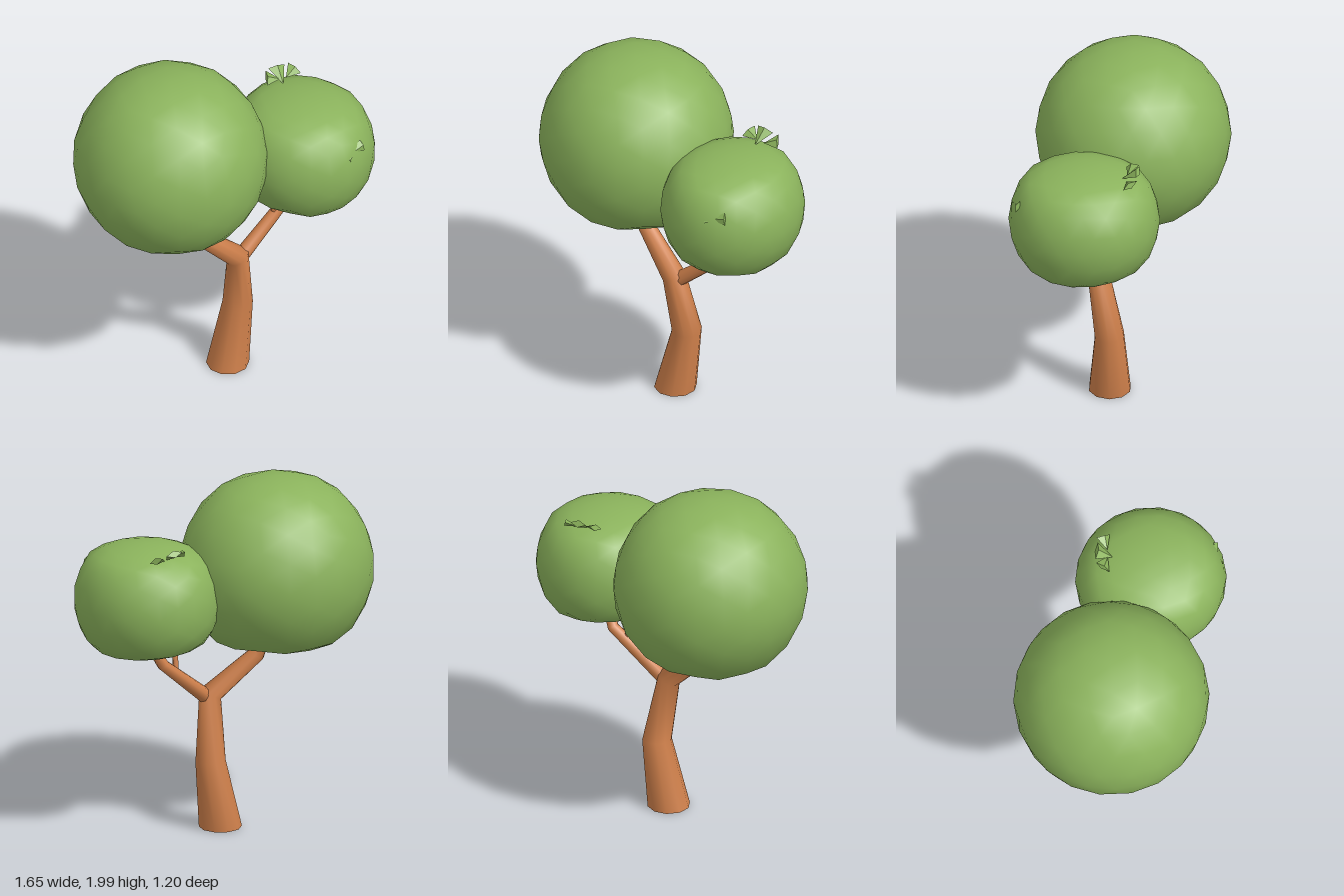
import * as THREE from 'three';
import { mergeVertices } from 'three/addons/utils/BufferGeometryUtils.js';

const V = (x, y, z) => new THREE.Vector3(x, y, z);

// Tapered limb through points [x, y, z, radius], with capped ends
function limb(points, startDir, sides = 10) {
  const centres = points.map(([x, y, z]) => V(x, y, z));
  const pos = [], index = [];
  const rings = centres.map((c, i) => {
    const before = centres[Math.max(i - 1, 0)], after = centres[Math.min(i + 1, centres.length - 1)];
    const t = i === 0 && startDir ? startDir.clone()
      : c.clone().sub(before).normalize().add(after.clone().sub(c).normalize()).normalize();
    const u = V(1, 0, 0).addScaledVector(t, -t.x).normalize();
    const v = t.clone().cross(u);
    const ring = [];
    for (let j = 0; j < sides; j++) {
      const a = (j / sides) * Math.PI * 2, r = points[i][3];
      ring.push(c.clone().addScaledVector(u, Math.cos(a) * r).addScaledVector(v, Math.sin(a) * r));
    }
    return ring;
  });
  rings.forEach((ring) => ring.forEach((p) => pos.push(p.x, p.y, p.z)));
  for (let i = 0; i < rings.length - 1; i++) {
    for (let j = 0; j < sides; j++) {
      const k = (j + 1) % sides, a = i * sides, b = a + sides;
      index.push(a + j, a + k, b + j, a + k, b + k, b + j);
    }
  }
  // Caps use their own vertices so the rims stay sharp
  [0, rings.length - 1].forEach((r) => {
    const base = pos.length / 3, c = centres[r];
    pos.push(c.x, c.y, c.z);
    rings[r].forEach((p) => pos.push(p.x, p.y, p.z));
    for (let j = 0; j < sides; j++) {
      const a = base + 1 + j, b = base + 1 + ((j + 1) % sides);
      if (r === 0) index.push(base, b, a); else index.push(base, a, b);
    }
  });
  const g = new THREE.BufferGeometry();
  g.setAttribute('position', new THREE.Float32BufferAttribute(pos, 3));
  g.setIndex(index);
  g.computeVertexNormals();
  return g;
}

// Rounded foliage ball, squashed above "top" and below "bottom"
function foliage(centre, radii, top, topSquash, bottom, bottomSquash, tiltX, tiltZ) {
  let g = new THREE.IcosahedronGeometry(1, 3);
  g.deleteAttribute('uv');
  g.deleteAttribute('normal');
  g = mergeVertices(g, 1e-4);
  const p = g.attributes.position;
  for (let i = 0; i < p.count; i++) {
    const dx = p.getX(i) * radii.x, dz = p.getZ(i) * radii.z;
    let y = centre.y + p.getY(i) * radii.y;
    const floor = bottom + dx * tiltX + dz * tiltZ;
    if (y > top) y = top + (y - top) * topSquash;
    if (y < floor) y = floor - (floor - y) * bottomSquash;
    p.setXYZ(i, centre.x + dx, y, centre.z + dz);
  }
  g.computeVertexNormals();
  return g;
}

// Small wedge leaf: pointed at "from", widening towards "to"
function leaf(from, to, width, normal) {
  const dir = from.clone().sub(to);
  const len = dir.length();
  dir.normalize();
  const side = dir.clone().cross(normal).normalize();
  const up = side.clone().cross(dir);
  const g = new THREE.ConeGeometry(1, 1, 4, 1).toNonIndexed();
  g.scale(width / 2, len, width * 0.2);
  g.applyMatrix4(new THREE.Matrix4().makeBasis(side, dir, up));
  const mid = from.clone().add(to).multiplyScalar(0.5);
  g.translate(mid.x, mid.y, mid.z);
  g.computeVertexNormals();
  return g;
}

export function createModel() {
  const tree = new THREE.Group();
  tree.name = 'tree';
  const bark = new THREE.MeshStandardMaterial({ color: 0xcf804b });
  bark.name = 'bark brown';
  const green = new THREE.MeshStandardMaterial({ color: 0x8bb35c });
  green.name = 'leaf green';
  const add = (name, geometry, material) => {
    const mesh = new THREE.Mesh(geometry, material);
    mesh.name = name;
    tree.add(mesh);
  };

  // Trunk bends and runs on into the larger branch
  add('trunk', limb([
    [0.012, 0, 0.058, 0.118], [0.082, 0.39, 0.058, 0.083], [0.035, 0.75, 0.117, 0.066],
    [-0.2, 0.96, 0.005, 0.047], [-0.24, 1.13, -0.04, 0.04],
  ], V(0, 1, 0)), bark);
  add('sideBranch', limb([
    [0.06, 0.74, 0.115, 0.043], [0.37, 0.99, 0.118, 0.033], [0.44, 1.14, 0.17, 0.028],
  ], null, 8), bark);
  add('twig', limb([
    [0.29, 0.93, 0.115, 0.02], [0.28, 0.98, 0.12, 0.017], [0.265, 1.16, 0.15, 0.014],
  ], null, 6), bark);

  // Crowns
  add('largeCrown', foliage(V(-0.29, 1.47, -0.062), V(0.535, 0.54, 0.537),
    1.9, 0.8, 1.06, 0.22, 0.06, 0), green);
  add('smallCrown', foliage(V(0.43, 1.365, 0.185), V(0.392, 0.41, 0.415),
    1.6, 0.5, 1.13, 0.4, -0.08, -0.06), green);

  // Loose leaves: [from, to, width]
  const topNormal = V(0, 1, 0.55).normalize(), frontNormal = V(0, 0.4, 1).normalize();
  [
    [V(0.46, 1.67, -0.05), V(0.39, 1.69, -0.08), 0.09, topNormal],
    [V(0.46, 1.65, -0.02), V(0.48, 1.71, -0.11), 0.1, topNormal],
    [V(0.5, 1.66, -0.05), V(0.575, 1.68, -0.07), 0.09, topNormal],
    [V(0.48, 1.51, 0.555), V(0.565, 1.525, 0.545), 0.07, frontNormal],
    [V(0.51, 1.505, 0.555), V(0.455, 1.485, 0.57), 0.055, frontNormal],
  ].forEach((args, i) => add('looseLeaf' + (i + 1), leaf(...args), green));

  return tree;
}
